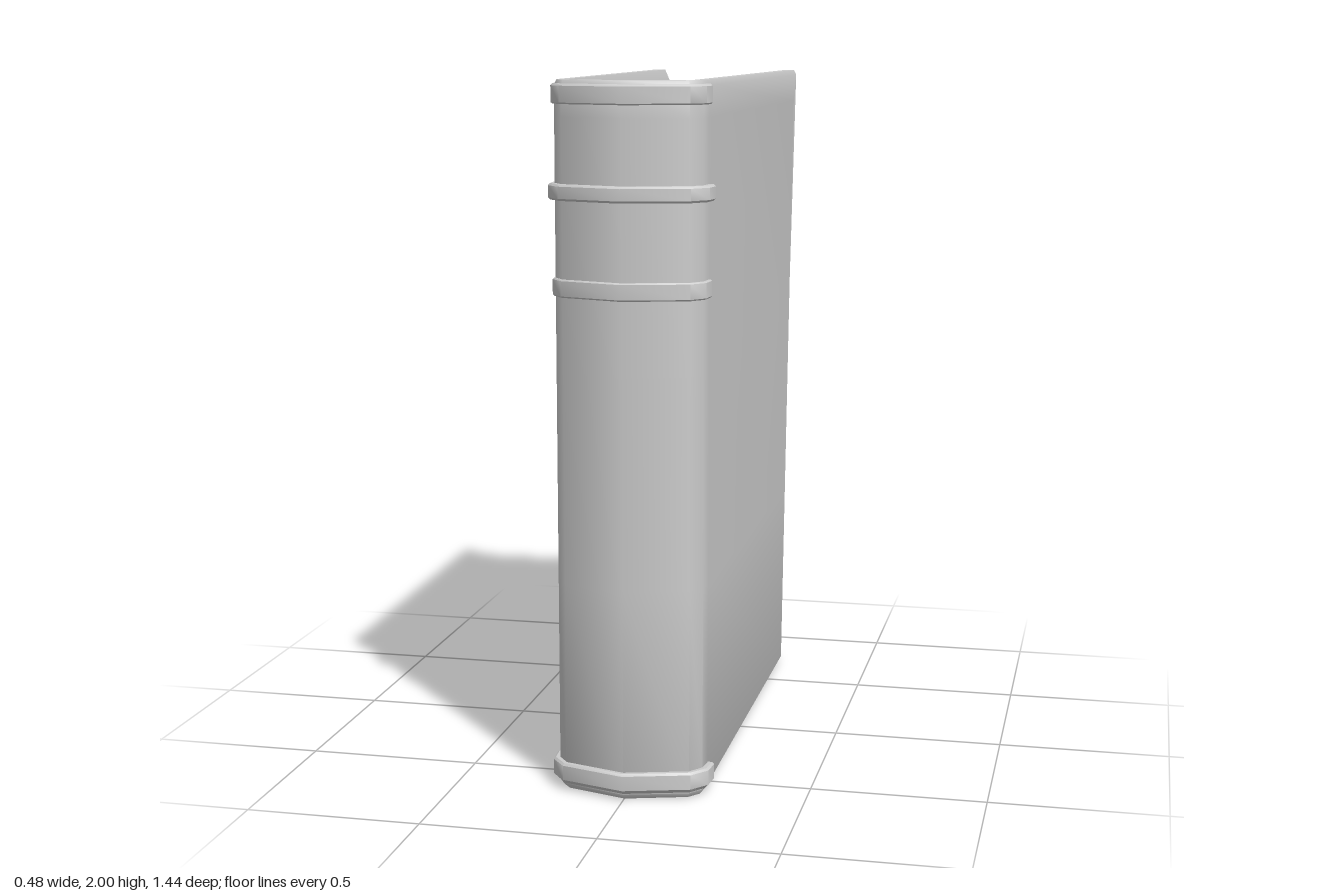
import * as THREE from 'three';
import { toCreasedNormals } from 'three/addons/utils/BufferGeometryUtils.js';
import { ConvexGeometry } from 'three/addons/geometries/ConvexGeometry.js';

const BACK = -0.72;
const material = new THREE.MeshStandardMaterial({ color: 0xcccccc });

// Half width at the open edge: the boards spread towards the top
const backWidth = y => (y < 1.9 ? 0.205 + 0.014 * y : 0.2316 + 0.084 * (y - 1.9));

// Half outlines seen from above, open edge to spine crest
const outer = y => [[backWidth(y), BACK], [0.213, 0.56], [0.208, 0.61], [0.178, 0.65], [0, 0.702]];
const inner = y => [[backWidth(y) - 0.058, BACK], [0.165, 0.56], [0.165, 0.59], [0.15, 0.597], [0, 0.645]];

// Mirrors a half outline into a full U from +x round to -x
const mirror = half => [...half, ...half.slice(0, -1).reverse().map(([x, z]) => [-x, z])];

// Skins closed rings, one per station round the U, and caps both ends
function sweep(name, loops) {
  // loops[p][s] = point p of the closed profile at station s
  const n = loops.length, m = loops[0].length, index = [];
  for (let p = 0; p < n; p++) {
    const q = (p + 1) % n;
    for (let s = 0; s < m - 1; s++) {
      const a = p * m + s, b = a + 1, d = q * m + s, c = d + 1;
      index.push(a, d, c, a, c, b);
    }
  }
  const last = (n - 1) * m;
  for (let p = 0; p < n - 2; p++) {
    index.push(last, (p + 1) * m, p * m);
    index.push(last + m - 1, p * m + m - 1, (p + 1) * m + m - 1);
  }
  const geometry = new THREE.BufferGeometry();
  geometry.setAttribute('position', new THREE.Float32BufferAttribute(loops.flat(2), 3));
  geometry.setIndex(index);
  const mesh = new THREE.Mesh(toCreasedNormals(geometry, 0.74), material);
  mesh.name = name;
  return mesh;
}

// Cover: profile of [height, 0 outside .. 1 inside], with bevelled rims
function makeCover() {
  const profile = [
    [0.015, 0], [0.6, 0], [1.2, 0], [1.9, 0], [1.985, 0], [2, 0.15], [2, 0.7],
    [1.95, 1], [1, 1], [0.05, 1], [0, 0.7], [0, 0.2],
  ];
  return sweep('cover', profile.map(([y, t]) => {
    const o = mirror(outer(y)), i = mirror(inner(y));
    return o.map(([x, z], s) => [x + (i[s][0] - x) * t, y, z + (i[s][1] - z) * t]);
  }));
}

// Raised band wrapped round the spine
function makeBand(name, y0, y1, depth, chamferLow, chamferHigh) {
  const push = [[1, 0], [1, 0.35], [0.4, 0.9], [0, 1]];
  const profile = [
    [y0, depth - chamferLow], [y0 + chamferLow, depth], [y1 - chamferHigh, depth],
    [y1, depth - chamferHigh], [y1, -0.02], [y0, -0.02],
  ];
  return sweep(name, profile.map(([y, d]) => {
    const half = outer(y).slice(1).map(([x, z], s) => [x + push[s][0] * d, z + push[s][1] * d]);
    return mirror(half).map(([x, z]) => [x, y, z]);
  }));
}

// Page block, set in from the rims and tapering with the boards
function makePages() {
  const points = [];
  for (const y of [0.045, 1.955]) {
    for (const side of [-1, 1]) {
      points.push(new THREE.Vector3(side * (backWidth(y) - 0.052), y, -0.695));
      points.push(new THREE.Vector3(side * 0.17, y, 0.592));
    }
    points.push(new THREE.Vector3(0, y, 0.65));
  }
  const mesh = new THREE.Mesh(new ConvexGeometry(points), material);
  mesh.name = 'pages';
  return mesh;
}

export function createModel() {
  const book = new THREE.Group();
  book.name = 'book';
  book.add(
    makeCover(),
    makePages(),
    makeBand('topBand', 1.935, 1.99, 0.009, 0.004, 0.006),
    makeBand('upperBand', 1.675, 1.72, 0.018, 0.006, 0.006),
    makeBand('lowerBand', 1.41, 1.46, 0.008, 0.004, 0.004),
    makeBand('bottomBand', 0.02, 0.08, 0.018, 0.012, 0.006),
  );
  return book;
}
